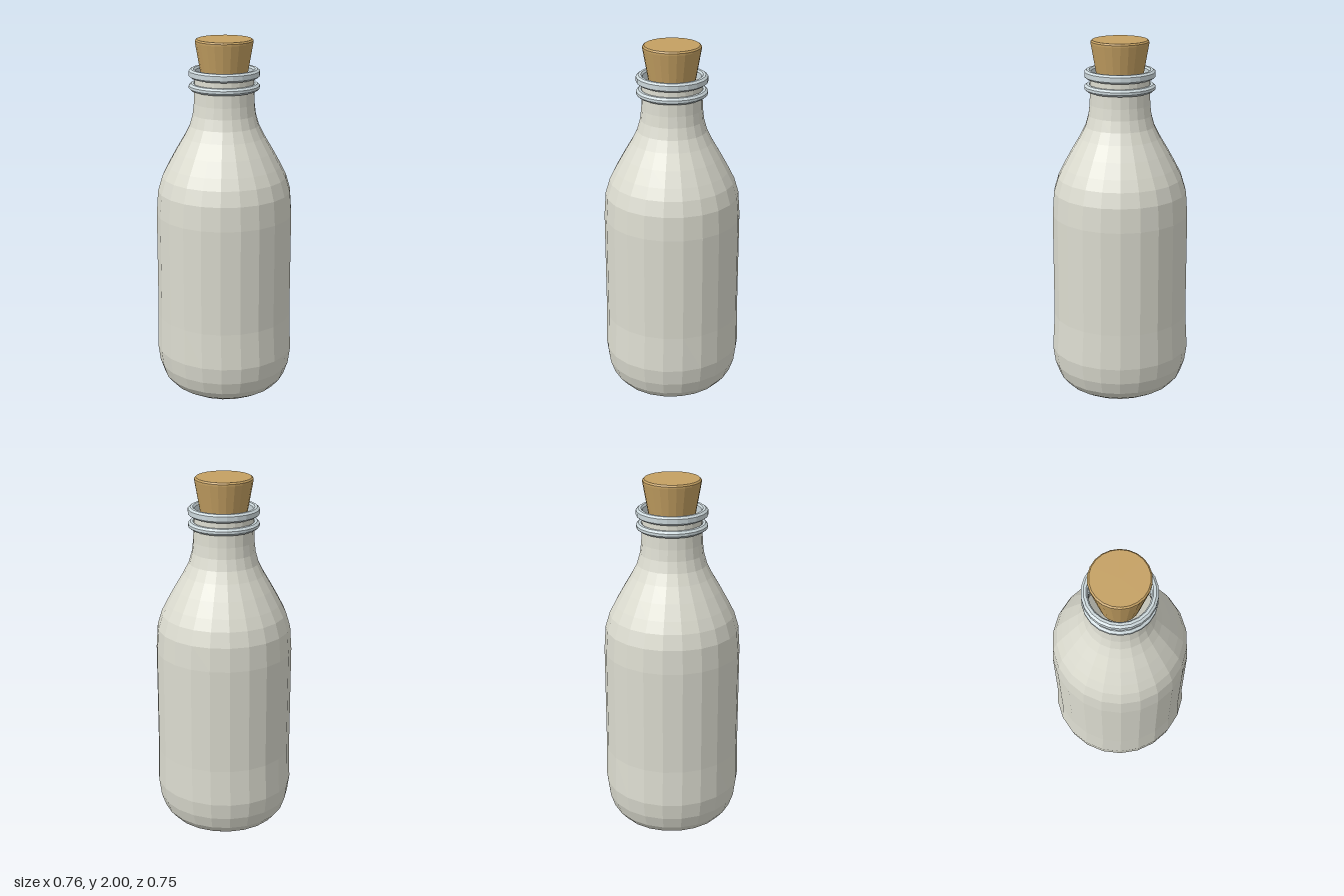
import * as THREE from 'three';

const SIDES = 22;

// Faceted surface of revolution from [radius, height] pairs, listed bottom to top on the outside
function turned(name, profile, color) {
  const points = profile.map(([r, y]) => new THREE.Vector2(r, y));
  const material = new THREE.MeshStandardMaterial({ color, flatShading: true, side: THREE.DoubleSide });
  const mesh = new THREE.Mesh(new THREE.LatheGeometry(points, SIDES), material);
  mesh.name = name;
  return mesh;
}

export function createModel() {
  const model = new THREE.Group();
  model.name = 'corkedBottle';

  // Bottle: rounded foot, slight bulge, straight wall, sloping shoulder, open neck
  const body = turned('bottleBody', [
    [0, 0.005], [0.14, 0], [0.25, 0.035], [0.3, 0.065], [0.338, 0.11], [0.362, 0.18],
    [0.374, 0.27], [0.371, 0.47], [0.371, 1.05], [0.362, 1.18], [0.338, 1.26],
    [0.308, 1.32], [0.264, 1.4], [0.217, 1.48], [0.187, 1.54], [0.17, 1.6],
    [0.163, 1.66], [0.161, 1.73], [0.158, 1.82],
  ], 0xdcdcd0);
  // The foot is a little wider from side to side
  const pos = body.geometry.attributes.position;
  for (let i = 0; i < pos.count; i++) {
    if (pos.getY(i) < 0.4) pos.setX(i, pos.getX(i) * 1.025);
  }
  model.add(body);

  // Two bevelled rings around the neck
  const ring = (name, y0, y1, bevel) => turned(name, [
    [0.156, y0], [0.178, y0], [0.19, y0 + bevel], [0.19, y1 - bevel],
    [0.178, y1], [0.164, y1], [0.156, y1 - bevel], [0.156, y0],
  ], 0xccd8dc);
  model.add(ring('lowerNeckRing', 1.73, 1.766, 0.011));
  model.add(ring('mouthRim', 1.797, 1.843, 0.01));

  // Tapered cork with a bevelled top edge
  model.add(turned('cork', [
    [0, 1.7], [0.105, 1.7], [0.155, 1.982], [0.155, 1.992], [0.147, 2], [0, 2],
  ], 0xc4a062));

  return model;
}
